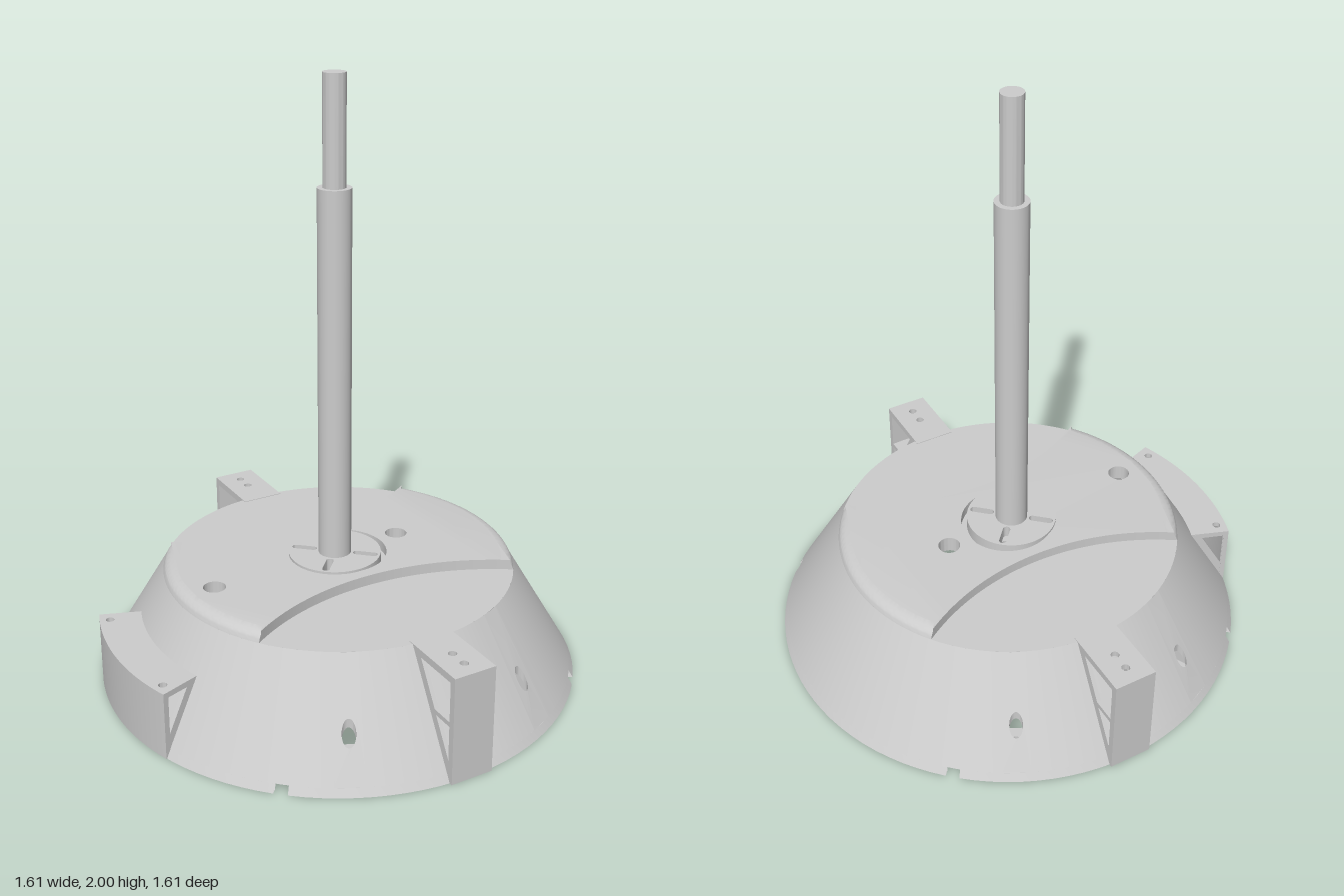
import * as THREE from 'three';
import { toCreasedNormals } from 'three/addons/utils/BufferGeometryUtils.js';

const PI = Math.PI;
const material = new THREE.MeshStandardMaterial({ color: 0xcccccc, side: THREE.DoubleSide });
const WALL = 0.018, DECK = 0.365, RIM = 0.588, TOP = 0.4, NOTCH_H = 0.025;
const coneR = (y) => 0.805 - (0.805 - RIM) * y / DECK;

function add(parent, name, geo, crease = 0.5) {
  const mesh = new THREE.Mesh(toCreasedNormals(geo, crease), material);
  mesh.name = name;
  parent.add(mesh);
  return mesh;
}

const poly = (pts) => new THREE.Shape(pts.map(([x, y]) => new THREE.Vector2(x, y)));
const circle = (x, y, r) => new THREE.Path().absarc(x, y, r, 0, 2 * PI);

// Horizontal plate: shape drawn as (x, z), occupying y0 to y0 + h
function plate(shape, y0, h, holes = [], steps = 1) {
  shape.holes.push(...holes);
  return new THREE.ExtrudeGeometry(shape, { depth: h, steps, bevelEnabled: false, curveSegments: 40 })
    .rotateX(PI / 2).translate(0, y0 + h, 0);
}

// Upright plate: shape drawn as (radius, y), centred on local z
function upright(shape, z, thick, holes = []) {
  shape.holes.push(...holes);
  return new THREE.ExtrudeGeometry(shape, { depth: thick, bevelEnabled: false }).translate(0, 0, z - thick / 2);
}

// Group whose local +x points outward at the given plan angle
function radialGroup(parent, name, angle) {
  const g = new THREE.Group();
  g.name = name;
  g.rotation.y = -angle;
  parent.add(g);
  return g;
}

function sector(r0, r1, a0, a1) {
  const s = new THREE.Shape();
  s.absarc(0, 0, r1, a0, a1, false);
  s.absarc(0, 0, r0, a1, a0, true);
  return s;
}

// Part of the conical wall between two heights and two angles
function wallBand(y0, y1, phi, length) {
  const pts = [[coneR(y0), y0], [coneR(y1), y1], [coneR(y1) - WALL, y1], [coneR(y0) - WALL, y0], [coneR(y0), y0]];
  return new THREE.LatheGeometry(pts.map(([r, y]) => new THREE.Vector2(r, y)),
    Math.max(2, Math.round(length * 16)), phi, length);
}

// Narrow wall panel with a vertical drilled hole
function holePanel(phi, half) {
  const y0 = NOTCH_H, y1 = DECK;
  const shape = poly([[-half, y0], [half, y0], [half, y1], [-half, y1]]);
  shape.holes.push(new THREE.Path().absellipse(0, 0.16, 0.031, 0.037, 0, 2 * PI));
  const geo = new THREE.ExtrudeGeometry(shape, { depth: 1, bevelEnabled: false, curveSegments: 16 });
  const p = geo.attributes.position;
  for (let i = 0; i < p.count; i++) {
    const u = p.getX(i), v = p.getY(i), inner = 1 - p.getZ(i);
    const drilled = Math.abs(u) < half * 0.9;
    const r = coneR(v) - (drilled ? 0 : WALL * inner);
    const y = v - (drilled ? WALL * 1.68 * inner : 0);
    p.setXYZ(i, r * Math.sin(phi + u), y, r * Math.cos(phi + u));
  }
  return geo;
}

function buildShell(root) {
  const shell = new THREE.Group();
  shell.name = 'conicalShell';
  root.add(shell);
  // Bottom band, interrupted by four notches
  const n = 0.028;
  for (let i = 0; i < 4; i++)
    add(shell, 'notchedRim', wallBand(0, NOTCH_H, i * PI / 2 + n, PI / 2 - 2 * n));
  // Main wall with four drilled panels and a screw seat behind each
  const half = 0.06, spots = [0.259, 1.17, 0.259 + PI, 1.17 + PI];
  spots.forEach((phi, i) => {
    const next = i < 3 ? spots[i + 1] : spots[0] + 2 * PI;
    add(shell, 'coneWall', wallBand(NOTCH_H, DECK, phi + half, next - phi - 2 * half));
    add(shell, 'drilledPanel', holePanel(phi, half));
    const seat = radialGroup(shell, 'screwSeat', PI / 2 - phi);
    add(seat, 'seatPlate', plate(poly([[0.66, -0.045], [0.735, -0.045], [0.735, 0.045], [0.66, 0.045]]),
      0.07, 0.018, [circle(0.707, 0, 0.013)]));
    for (const z of [-0.045, 0.045])
      add(seat, 'seatCheek', upright(poly([[0.66, 0.07], [0.74, 0.07], [0.668, 0.2], [0.66, 0.2]]), z, 0.012));
  });
}

function buildDeck(root, axis, hub) {
  const through = () => [circle(0.165, -0.175, 0.037), circle(-0.335, 0.33, 0.037)];
  // Lower deck with hub screw holes
  const disc = new THREE.Shape().absarc(0, 0, RIM, 0, 2 * PI);
  const screws = [0, 1, 2, 3].map((i) =>
    circle(hub.x + 0.1 * Math.cos(i * PI / 2), hub.z + 0.1 * Math.sin(i * PI / 2), 0.012));
  add(root, 'lowerDeck', plate(disc, 0.343, DECK - 0.343, [...through(), ...screws]));

  // Raised deck: disc with two arc-shaped cutouts and a round recess for the hub
  const chord = 0.347, R = 0.841;
  const alpha = Math.acos(chord / RIM), h = RIM * Math.sin(alpha);
  const gamma = Math.asin(h / R), D = chord + R * Math.cos(gamma);
  const s = new THREE.Shape();
  for (const a of [axis, axis + PI]) {
    s.absarc(0, 0, RIM, a + alpha, a + PI - alpha, false);
    s.absarc(-D * Math.cos(a), -D * Math.sin(a), R, a + gamma, a - gamma, true);
  }
  const geo = plate(s, DECK, TOP - DECK, [...through(), circle(0.002, -0.003, 0.16)], 6);
  // Round over the outer rim
  const p = geo.attributes.position;
  for (let i = 0; i < p.count; i++) {
    const x = p.getX(i), z = p.getZ(i), r = Math.hypot(x, z);
    if (r < RIM - 0.002) continue;
    const t = (p.getY(i) - DECK) / (TOP - DECK);
    const k = (RIM - 0.012 * t - 0.03 * t ** 4) / r;
    p.setX(i, x * k);
    p.setZ(i, z * k);
  }
  add(root, 'raisedDeck', geo, 0.6);
}

function buildMast(root, hub) {
  const mast = new THREE.Group();
  mast.name = 'mast';
  mast.position.set(hub.x, 0, hub.z);
  root.add(mast);
  // Hub disc with four radial slots
  const slots = [0, 1, 2, 3].map((i) => {
    const a = i * PI / 2, w = 0.0125;
    const at = (r) => [r * Math.cos(a), r * Math.sin(a)];
    const slot = new THREE.Path();
    slot.absarc(...at(0.134), w, a - PI / 2, a + PI / 2, false);
    slot.absarc(...at(0.075), w, a + PI / 2, a + 1.5 * PI, false);
    return slot;
  });
  add(mast, 'hubDisc', plate(new THREE.Shape().absarc(0, 0, 0.155, 0, 2 * PI), DECK, 0.043, slots));
  const lower = new THREE.CylinderGeometry(0.055, 0.055, 1.65 - DECK, 40);
  add(mast, 'lowerPole', lower.translate(0, (1.65 + DECK) / 2, 0));
  add(mast, 'upperPole', new THREE.CylinderGeometry(0.037, 0.037, 0.35, 40).translate(0, 1.825, 0));
}

// Tall bracket: drilled top, outer wall, shelf and two open triangular cheeks
function buildTallBracket(root, angle) {
  const g = radialGroup(root, 'tallBracket', angle);
  const w = 0.073, out = 0.812;
  add(g, 'bracketTop', plate(poly([[0.565, -w], [out, -w], [out, w], [0.565, w]]), 0.347, 0.02,
    [circle(0.69, 0, 0.014), circle(0.752, 0, 0.014)]));
  add(g, 'bracketWall', new THREE.BoxGeometry(0.02, DECK, 2 * w).translate(out - 0.01, DECK / 2, 0));
  add(g, 'bracketShelf', new THREE.BoxGeometry(0.11, 0.014, 2 * w).translate(0.74, 0.2, 0));
  for (const z of [-w + 0.007, w - 0.007])
    add(g, 'bracketCheek', upright(poly([[0.8, 0], [out - 0.01, 0], [out - 0.01, DECK], [0.58, DECK]]), z, 0.014, [
      poly([[0.63, 0.343], [0.79, 0.343], [0.79, 0.208], [0.711, 0.208]]),
      poly([[0.719, 0.192], [0.79, 0.192], [0.79, 0.075]]),
    ]));
}

// Low curved bracket: arc top, arc wall and two open end cheeks
function buildCurvedBracket(root) {
  const a0 = 2.07, a1 = 2.765, H = 0.23;
  const g = new THREE.Group();
  g.name = 'curvedBracket';
  root.add(g);
  const holes = [a0 + 0.053, a1 - 0.051].map((a) => circle(0.773 * Math.cos(a), 0.773 * Math.sin(a), 0.014));
  add(g, 'curvedTop', plate(sector(0.655, 0.807, a0, a1), H - 0.018, 0.018, holes));
  add(g, 'curvedWall', plate(sector(0.79, 0.807, a0, a1), 0, H - 0.018));
  for (const a of [a0 + 0.01, a1 - 0.01]) {
    const end = radialGroup(g, 'curvedEnd', a);
    add(end, 'endCheek', upright(poly([[0.79, 0], [0.8, 0], [0.8, H - 0.005], [0.665, H - 0.005]]), 0, 0.014,
      [poly([[0.71, 0.21], [0.787, 0.21], [0.787, 0.08]])]));
  }
}

export function createModel() {
  const root = new THREE.Group();
  root.name = 'mastBase';
  const axis = 0.838, hub = { x: -0.009, z: 0.014 };
  buildShell(root);
  buildDeck(root, axis, hub);
  buildMast(root, hub);
  buildTallBracket(root, axis);
  buildTallBracket(root, axis + PI);
  buildCurvedBracket(root);
  return root;
}
